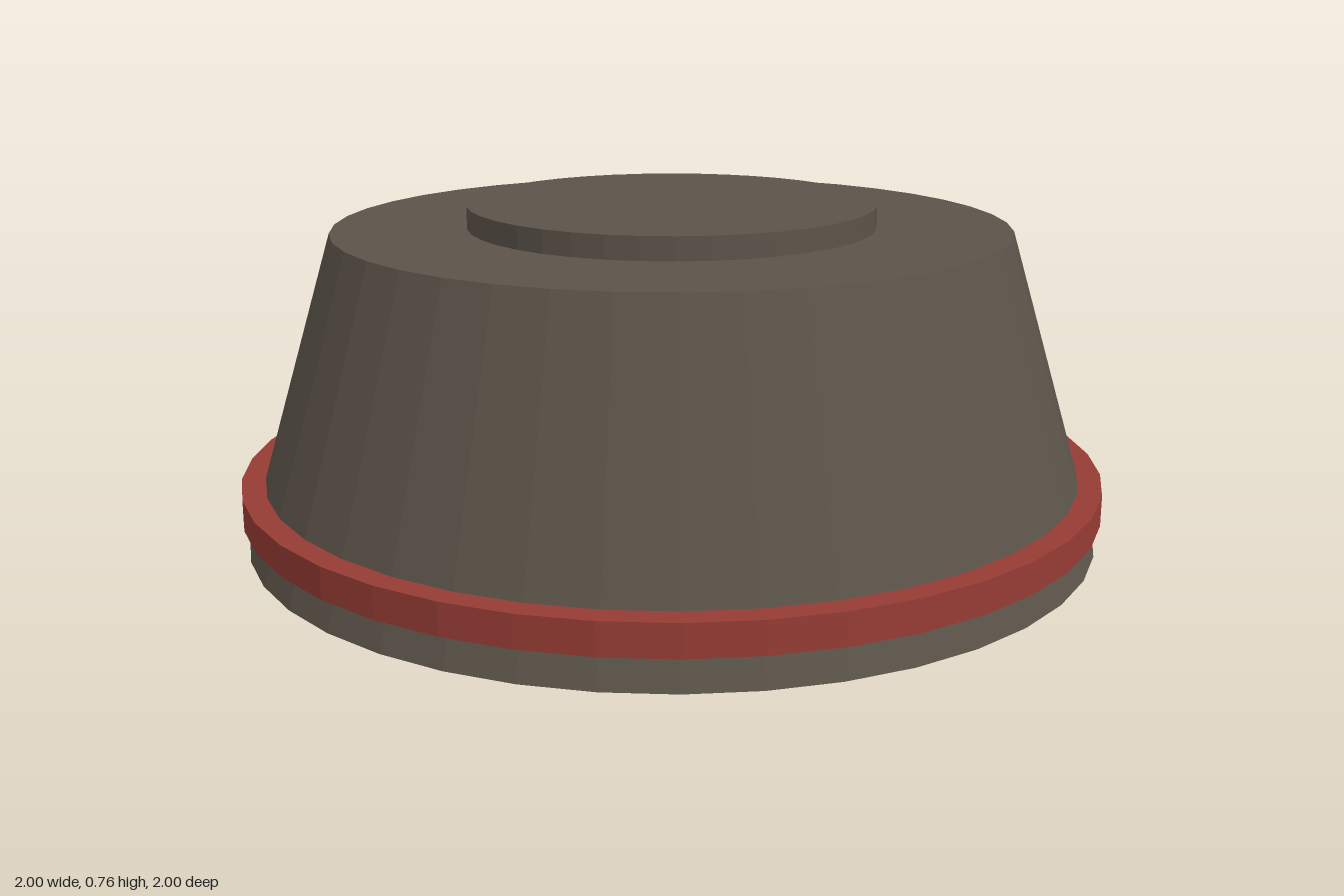
import * as THREE from 'three';

const SIDES = 40;

export function createModel() {
  const model = new THREE.Group();
  const grey = new THREE.MeshStandardMaterial({ color: 0x5c544a, flatShading: true });
  const red = new THREE.MeshStandardMaterial({ color: 0x963c34, flatShading: true });

  // Solid round section standing between two heights
  const addDisc = (name, rTop, rBottom, y0, y1, material) => {
    const geometry = new THREE.CylinderGeometry(rTop, rBottom, y1 - y0, SIDES);
    const mesh = new THREE.Mesh(geometry, material);
    mesh.name = name;
    mesh.position.y = (y0 + y1) / 2;
    model.add(mesh);
  };

  addDisc('taperedBody', 0.777, 0.99, 0, 0.708, grey);
  addDisc('trimBand', 1, 1, 0.074, 0.145, red);
  addDisc('topCap', 0.47, 0.47, 0.66, 0.76, grey);

  return model;
}
